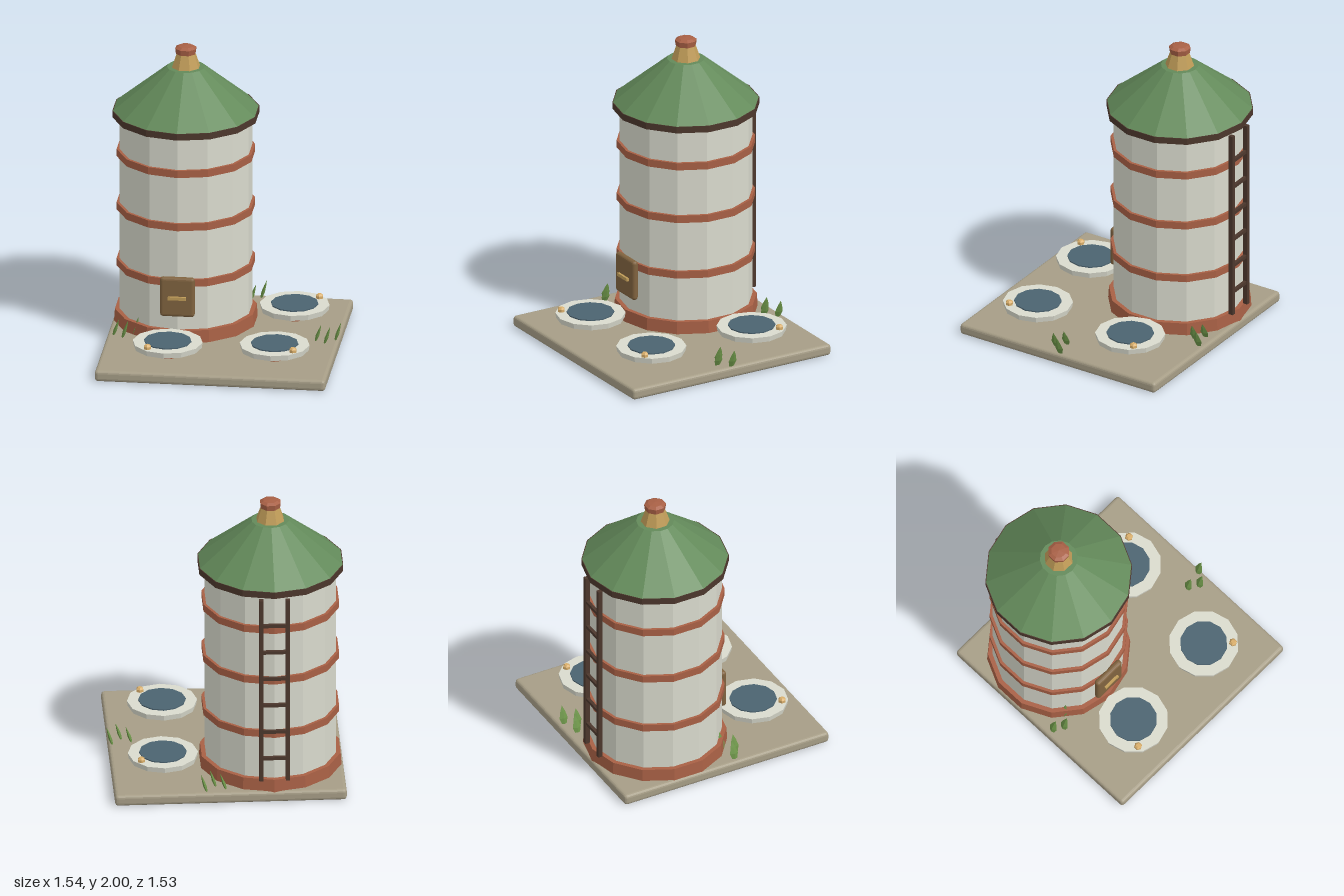
import * as THREE from 'three';
import { RoundedBoxGeometry } from 'three/addons/geometries/RoundedBoxGeometry.js';

const mat = (color) => new THREE.MeshStandardMaterial({ color, flatShading: true });
const M = {
  stone: mat(0xa69d86), wall: mat(0xd9dacd), rust: mat(0xa86045), roof: mat(0x638a5a),
  dark: mat(0x4c372c), door: mat(0x80633f), brass: mat(0xc09c58), water: mat(0x4b6370),
  knob: mat(0xd9ae6a), leaf: mat(0x6c9448),
};

export function createModel() {
  const model = new THREE.Group();

  const add = (parent, name, geometry, material, x = 0, y = 0, z = 0) => {
    const mesh = new THREE.Mesh(geometry, material);
    mesh.name = name;
    mesh.position.set(x, y, z);
    parent.add(mesh);
    return mesh;
  };
  // Faceted drum between two heights
  const drum = (parent, name, rBottom, rTop, y0, y1, sides, material, x = 0, z = 0) =>
    add(parent, name, new THREE.CylinderGeometry(rTop, rBottom, y1 - y0, sides), material, x, (y0 + y1) / 2, z);
  const group = (name, x, y, z) => {
    const g = new THREE.Group();
    g.name = name;
    g.position.set(x, y, z);
    model.add(g);
    return g;
  };

  // Ground slab
  add(model, 'groundSlab', new RoundedBoxGeometry(1.53, 0.076, 1.53, 2, 0.022), M.stone, 0, 0.038, 0);

  // Tower
  const tower = group('tower', -0.288, 0, -0.283);
  const N = 14;
  drum(tower, 'foundation', 0.476, 0.47, 0.07, 0.16, N, M.rust);
  drum(tower, 'wall', 0.44, 0.44, 0.1, 1.53, N, M.wall);
  for (const y of [0.49, 0.885, 1.26])
    drum(tower, 'band', 0.459, 0.459, y - 0.025, y + 0.025, N, M.rust);
  drum(tower, 'roofRim', 0.487, 0.487, 1.51, 1.555, N, M.dark);
  drum(tower, 'roof', 0.482, 0.125, 1.555, 1.85, N, M.roof);

  // Roof vent with cap
  drum(tower, 'vent', 0.098, 0.062, 1.845, 1.95, 8, M.brass).rotation.y = Math.PI / 8;
  const capProfile = [[0, 1.94], [0.068, 1.945], [0.073, 1.982], [0.05, 1.995], [0, 2.0]]
    .map(([r, y]) => new THREE.Vector2(r, y));
  add(tower, 'ventCap', new THREE.LatheGeometry(capProfile, 8), M.rust).rotation.y = Math.PI / 8;

  // Hatch on the front
  add(tower, 'hatch', new RoundedBoxGeometry(0.23, 0.275, 0.045, 2, 0.02), M.door, 0, 0.3975, 0.455);
  add(tower, 'hatchHandle', new THREE.BoxGeometry(0.12, 0.022, 0.025), M.brass, 0, 0.395, 0.481);

  // Ladder on the back
  const ladder = group('ladder', -0.288, 0, -0.748);
  for (const s of [-1, 1])
    add(ladder, 'ladderRail', new THREE.BoxGeometry(0.028, 1.335, 0.032), M.dark, s * 0.088, 0.825, 0);
  for (let i = 0; i < 6; i++)
    add(ladder, 'ladderRung', new THREE.BoxGeometry(0.176, 0.022, 0.022), M.dark, 0, 0.32 + i * 0.196, 0);

  // Round basins: x, z, then knob offset
  for (const [x, z, kx, kz] of [
    [-0.32, 0.434, -0.115, 0.155], [0.425, -0.355, 0.15, -0.122], [0.385, 0.395, 0.138, 0.135],
  ]) {
    const basin = group('basin', x, 0, z);
    drum(basin, 'basinStem', 0.056, 0.056, 0.07, 0.148, 10, M.rust);
    drum(basin, 'basinDish', 0.226, 0.232, 0.145, 0.182, 12, M.wall);
    drum(basin, 'basinWater', 0.157, 0.157, 0.17, 0.19, 12, M.water);
    drum(basin, 'basinKnob', 0.026, 0.026, 0.18, 0.2, 6, M.knob, kx, kz);
    drum(basin, 'basinKnobTop', 0.026, 0.014, 0.2, 0.212, 6, M.knob, kx, kz);
  }

  // Grass tufts: flat pointed blades leaning towards +x
  const bladeProfile = [[0, 0], [0.55, 0], [1, 0.35], [0.55, 0.72], [0, 1]]
    .map(([r, y]) => new THREE.Vector2(r, y));
  const bladeGeometry = new THREE.LatheGeometry(bladeProfile, 4);
  bladeGeometry.scale(0.012, 1, 0.03);
  const p = bladeGeometry.attributes.position;
  for (let i = 0; i < p.count; i++) p.setX(i, p.getX(i) + 0.038 * p.getY(i));
  for (const [x, z] of [[0.03, -0.69], [0.61, 0.022], [-0.725, 0.078]]) {
    const tuft = group('grassTuft', x, 0.07, z);
    [[0, 0, 0.115], [0.065, 0.04, 0.122], [0.128, -0.03, 0.128]].forEach(([bx, bz, h]) => {
      add(tuft, 'grassBlade', bladeGeometry, M.leaf, bx, 0, bz).scale.y = h;
    });
  }

  return model;
}
